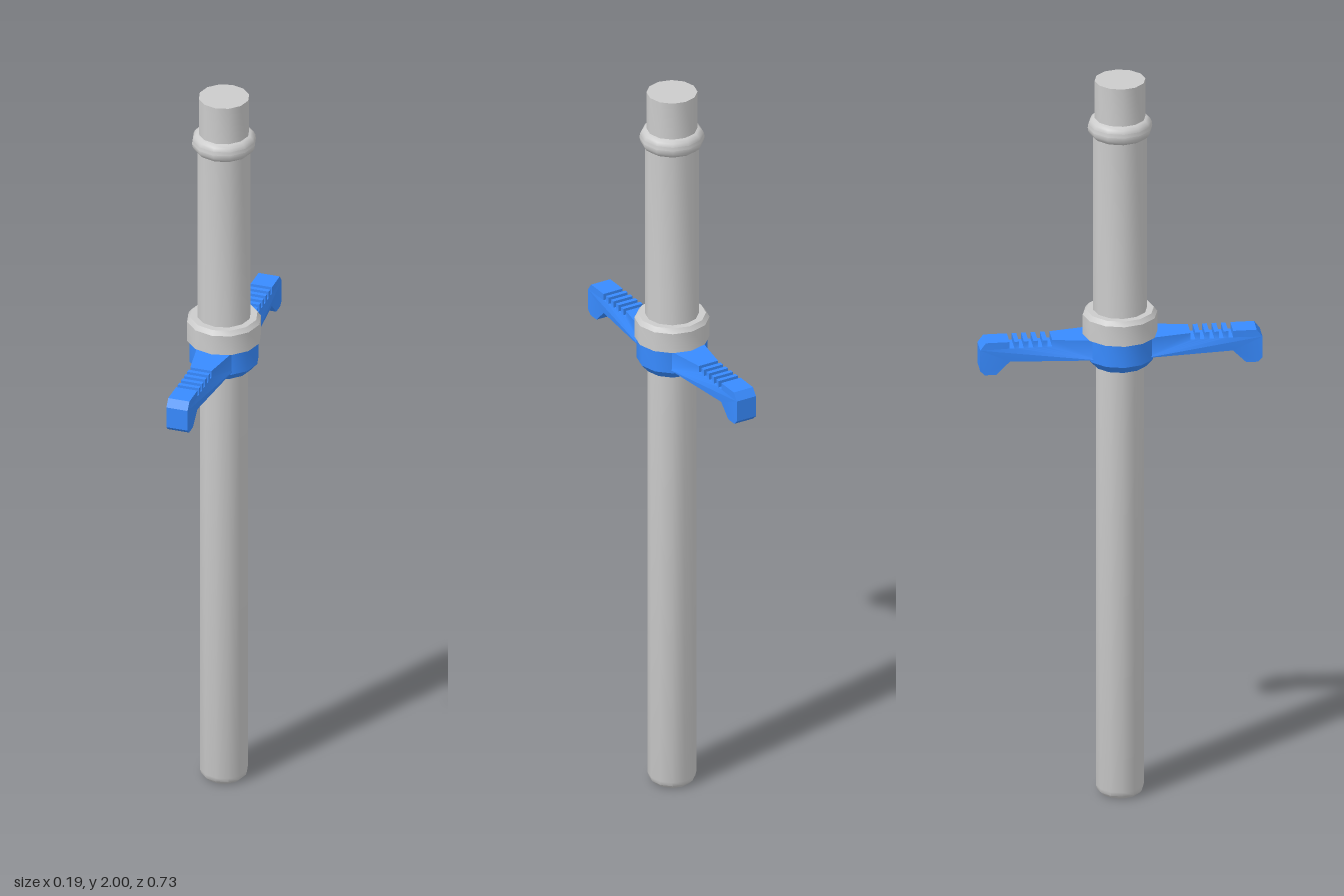
import * as THREE from 'three';
import { toCreasedNormals } from 'three/addons/utils/BufferGeometryUtils.js';

const SIDES = 12;
const grey = new THREE.MeshStandardMaterial({ color: 0xcccccc });
const blue = new THREE.MeshStandardMaterial({ color: 0x388bff });

function part(name, geometry, material) {
  const mesh = new THREE.Mesh(toCreasedNormals(geometry, 0.6), material);
  mesh.name = name;
  return mesh;
}

// Twelve-sided turned part from [radius, height] pairs, listed bottom to top
function turned(name, profile, material) {
  const points = profile.map(([r, y]) => new THREE.Vector2(r, y));
  return part(name, new THREE.LatheGeometry(points, SIDES), material);
}

// One arm of the crossguard: side outline in (z, y), extruded across x
function guardArmGeometry() {
  const top = 1.29, root = 0.06, notchFloor = 1.272;
  const outline = [[root, 1.235], [0.29, 1.235], [0.325, 1.2], [0.355, 1.2],
    [0.367, 1.212], [0.367, 1.27], [0.352, top]];
  // Grip notches, from the tip inward
  for (let i = 4; i >= 0; i--) {
    const inner = 0.18 + i * 0.0245, outer = inner + 0.0125;
    outline.push([outer, top], [outer, notchFloor], [inner, notchFloor], [inner, top]);
  }
  outline.push([root, top]);

  const shape = new THREE.Shape(outline.map(([z, y]) => new THREE.Vector2(z, y)));
  const geometry = new THREE.ExtrudeGeometry(shape, { depth: 1, bevelEnabled: false });
  geometry.translate(0, 0, -0.5);
  geometry.rotateY(-Math.PI / 2);

  // Widen the root so the arm tapers towards the tip
  const pos = geometry.attributes.position;
  for (let i = 0; i < pos.count; i++) {
    const halfWidth = pos.getZ(i) < 0.1 ? 0.05 : 0.029;
    pos.setX(i, Math.sign(pos.getX(i)) * halfWidth);
  }
  return geometry;
}

export function createModel() {
  const group = new THREE.Group();
  group.name = 'staffWithCrossguard';

  // Long lower shaft with a rounded foot
  group.add(turned('shaft', [[0, 0], [0.05, 0], [0.06, 0.01], [0.063, 0.022],
    [0.063, 1.25], [0, 1.25]], grey));

  // Handle above the guard, ending in a narrower stub
  group.add(turned('handle', [[0.07, 1.3], [0.07, 1.86]], grey));
  group.add(turned('handleStub', [[0.066, 1.85], [0.066, 2], [0, 2]], grey));

  // Rounded bead between handle and stub
  const bead = [];
  for (let i = 0; i <= 8; i++) {
    const a = -Math.PI / 2 + (i / 8) * Math.PI;
    bead.push([0.064 + 0.02 * Math.cos(a), 1.87 + 0.026 * Math.sin(a)]);
  }
  group.add(turned('handleBead', bead, grey));

  // Grey collar resting on the guard
  group.add(turned('collar', [[0.06, 1.29], [0.097, 1.29], [0.097, 1.345],
    [0.088, 1.357], [0.06, 1.357]], grey));

  // Blue crossguard: hub and two mirrored arms
  const guard = new THREE.Group();
  guard.name = 'crossguard';
  guard.add(turned('guardHub', [[0.06, 1.206], [0.072, 1.206], [0.091, 1.228],
    [0.091, 1.29], [0.06, 1.29]], blue));
  ['frontArm', 'backArm'].forEach((name, i) => {
    const arm = part(name, guardArmGeometry(), blue);
    arm.rotation.y = i * Math.PI;
    guard.add(arm);
  });
  group.add(guard);

  return group;
}
